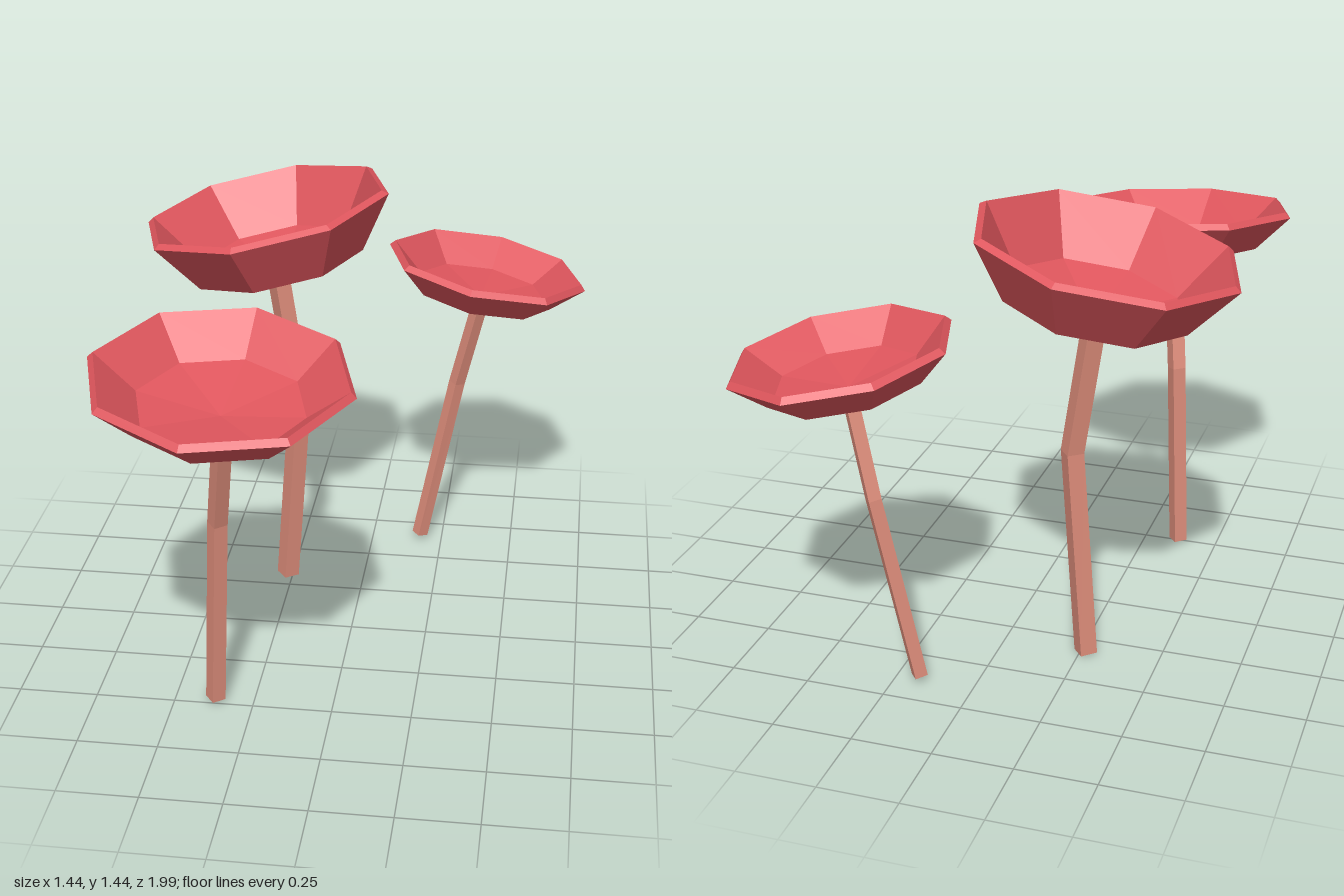
import * as THREE from 'three';

const capRed = new THREE.MeshStandardMaterial({ color: 0xdf565d, flatShading: true });
capRed.name = 'cap red';
const stemTan = new THREE.MeshStandardMaterial({ color: 0xdc8c7a, flatShading: true });
stemTan.name = 'stem tan';

const UP = new THREE.Vector3(0, 1, 0);
const START = Math.PI / 2 - 0.105; // small twist shared by caps and stems

// Eight-sided bowl: outer half-ellipsoid, bevelled lip, inner shell
function makeCap({ radius, depth, centre, slope }) {
  const k = Math.SQRT1_2, t = 0.025;
  const dr = radius * (1 - k), dd = depth * k, len = Math.hypot(dr, dd);
  const profile = [
    [0, -depth],
    [radius * k, -depth * k],
    [radius, 0],
    [radius - t * dd / len, t * dr / len],
    [radius * 0.64, -depth * k + t * 0.8],
    [0, -depth + t],
  ].map(([x, y]) => new THREE.Vector2(x, y));
  const cap = new THREE.Mesh(new THREE.LatheGeometry(profile, 8, START, Math.PI * 2), capRed);
  cap.name = 'cap';
  cap.position.set(...centre);
  const normal = new THREE.Vector3(-slope[0], 1, -slope[1]).normalize();
  cap.quaternion.setFromUnitVectors(UP, normal);
  return cap;
}

// Square stem with one bend: each ring is moved onto the path and turned along it
function makeStem({ path, width }) {
  const pts = path.map(p => new THREE.Vector3(...p));
  const geo = new THREE.CylinderGeometry(width, width, 2, 4, 2, false, START, Math.PI * 2);
  const pos = geo.attributes.position;
  const turns = pts.map((p, i) => {
    const dir = pts[Math.min(i + 1, 2)].clone().sub(pts[Math.max(i - 1, 0)]).normalize();
    return new THREE.Quaternion().setFromUnitVectors(UP, dir);
  });
  const v = new THREE.Vector3();
  for (let i = 0; i < pos.count; i++) {
    v.fromBufferAttribute(pos, i);
    const ring = Math.round(v.y + 1);
    v.y = 0;
    v.applyQuaternion(turns[ring]).add(pts[ring]);
    pos.setXYZ(i, v.x, v.y, v.z);
  }
  geo.computeVertexNormals();
  const stem = new THREE.Mesh(geo, stemTan);
  stem.name = 'stem';
  return stem;
}

const mushrooms = [
  {
    name: 'tallMushroom', radius: 0.412, depth: 0.25, centre: [-0.32, 1.355, -0.335], slope: [0.2, 0],
    width: 0.0385, path: [[-0.267, 0.004, -0.325], [-0.217, 0.69, -0.322], [-0.283, 1.125, -0.328]],
  },
  {
    name: 'frontMushroom', radius: 0.396, depth: 0.155, centre: [-0.297, 1.178, 0.6], slope: [-0.05, -0.127],
    width: 0.032, path: [[-0.37, 0.014, 0.485], [-0.34, 0.655, 0.507], [-0.295, 1.035, 0.595]],
  },
  {
    name: 'smallMushroom', radius: 0.343, depth: 0.13, centre: [0.382, 1.063, -0.655], slope: [-0.17, 0.059],
    width: 0.028, path: [[0.172, 0.021, -0.64], [0.29, 0.62, -0.672], [0.368, 0.95, -0.645]],
  },
];

export function createModel() {
  const model = new THREE.Group();
  model.name = 'mushrooms';
  for (const m of mushrooms) {
    const group = new THREE.Group();
    group.name = m.name;
    group.add(makeStem(m), makeCap(m));
    model.add(group);
  }
  return model;
}
